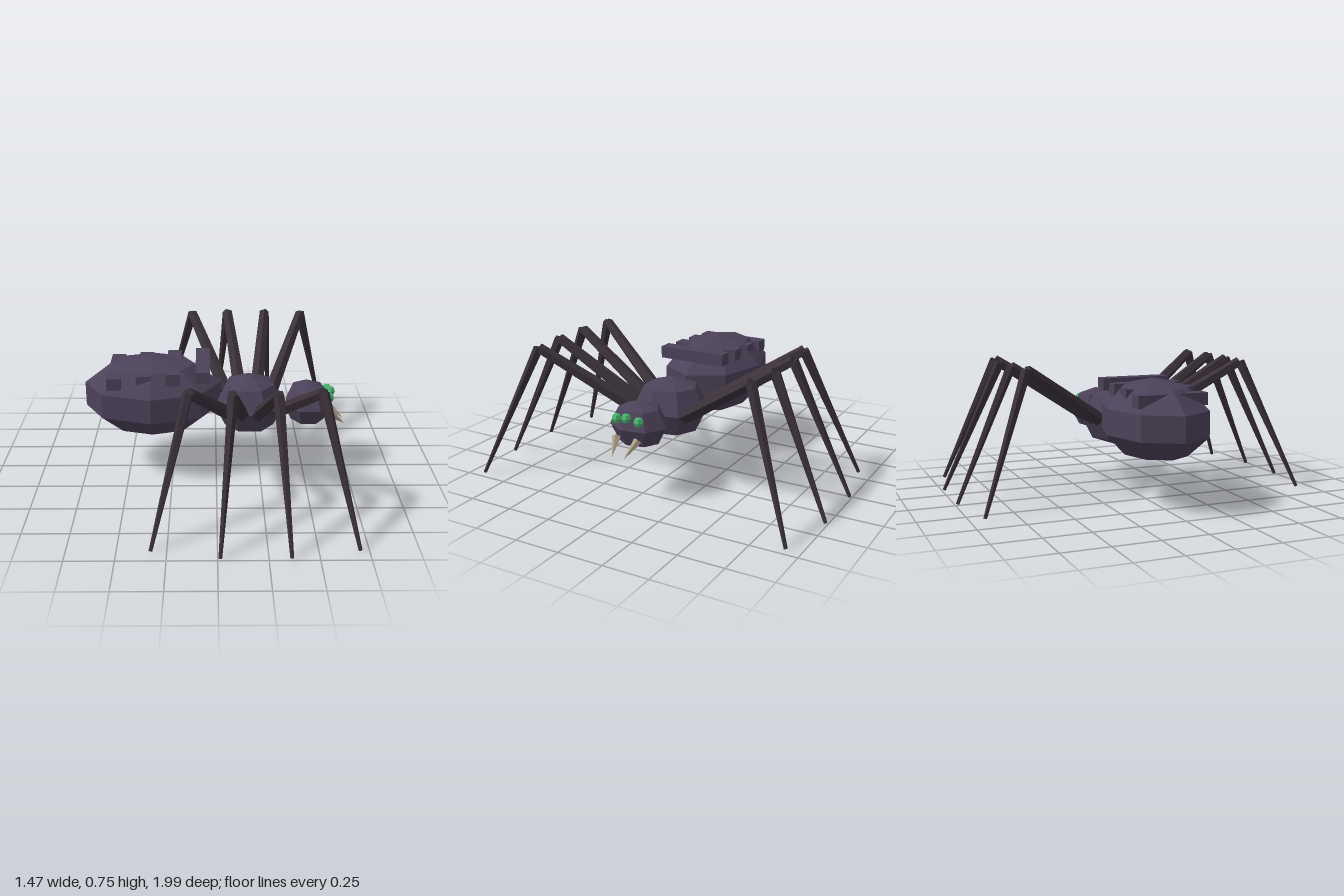
import * as THREE from 'three';

export function createModel() {
  const root = new THREE.Group();
  root.name = 'spider';

  const material = (name, color) => {
    const m = new THREE.MeshStandardMaterial({ color, flatShading: true });
    m.name = name;
    return m;
  };
  const shell = material('dusky purple', 0x4c4259);
  const limb = material('dark brown', 0x3a3139);
  const eyeGreen = material('eye green', 0x48b36c);
  const bone = material('bone', 0xad9f88);

  const add = (name, geometry, mat, parent = root) => {
    const mesh = new THREE.Mesh(geometry, mat);
    mesh.name = name;
    parent.add(mesh);
    return mesh;
  };

  // Faceted ellipsoid with its first seam turned to the right side
  const ellipsoid = (name, pos, radii, around, rows, mat = shell, parent = root) => {
    const g = new THREE.SphereGeometry(1, around, rows).rotateY(-Math.PI / 2).scale(...radii);
    add(name, g, mat, parent).position.set(...pos);
  };

  // Tapered prism running from point a to point b
  const taper = (name, a, b, ra, rb, sides, mat, parent) => {
    const start = new THREE.Vector3(...a);
    const end = new THREE.Vector3(...b);
    const dir = end.clone().sub(start);
    const mesh = add(name, new THREE.CylinderGeometry(rb, ra, dir.length(), sides), mat, parent);
    mesh.position.copy(start).add(end).multiplyScalar(0.5);
    mesh.quaternion.setFromUnitVectors(new THREE.Vector3(0, 1, 0), dir.normalize());
  };

  // Body segments
  ellipsoid('abdomen', [-0.355, 0.462, 0], [0.4, 0.223, 0.287], 8, 5);
  ellipsoid('thorax', [0.187, 0.403, 0], [0.2, 0.172, 0.21], 7, 4);
  ellipsoid('head', [0.518, 0.405, 0], [0.137, 0.13, 0.16], 7, 4);

  // Ridge bars crossing the back of the abdomen
  const ridges = [[-0.557, 0.591], [-0.396, 0.605], [-0.236, 0.615], [-0.075, 0.628]];
  for (const [x, y] of ridges) {
    add('backRidge', new THREE.BoxGeometry(0.078, 0.066, 0.39), shell).position.set(x, y, 0);
  }

  // Eyes
  for (const [x, y, z] of [[0.633, 0.461, 0.066], [0.645, 0.475, 0], [0.633, 0.461, -0.066]]) {
    ellipsoid('eye', [x, y, z], [0.028, 0.028, 0.028], 6, 4, eyeGreen);
  }

  // Fangs and legs, mirrored across the body
  const legs = [
    { hip: [0.055, 0.41], knee: [-0.142, 0.727, 0.635], foot: [-0.33, 0.006, 0.92] },
    { hip: [0.142, 0.4], knee: [0.074, 0.727, 0.662], foot: [0.012, 0.006, 0.988] },
    { hip: [0.234, 0.4], knee: [0.302, 0.727, 0.662], foot: [0.363, 0.006, 0.988] },
    { hip: [0.322, 0.41], knee: [0.522, 0.727, 0.635], foot: [0.705, 0.006, 0.92] },
  ];
  for (const s of [1, -1]) {
    taper('fang', [0.64, 0.362, s * 0.064], [0.73, 0.288, s * 0.035], 0.024, 0, 5, bone, root);
    for (const { hip, knee, foot } of legs) {
      const leg = new THREE.Group();
      leg.name = 'leg';
      root.add(leg);
      const joint = [knee[0], knee[1], s * knee[2]];
      taper('upperLeg', [...hip, s * 0.16], joint, 0.04, 0.029, 5, limb, leg);
      taper('lowerLeg', joint, [foot[0], foot[1], s * foot[2]], 0.029, 0.01, 5, limb, leg);
    }
  }

  return root;
}
